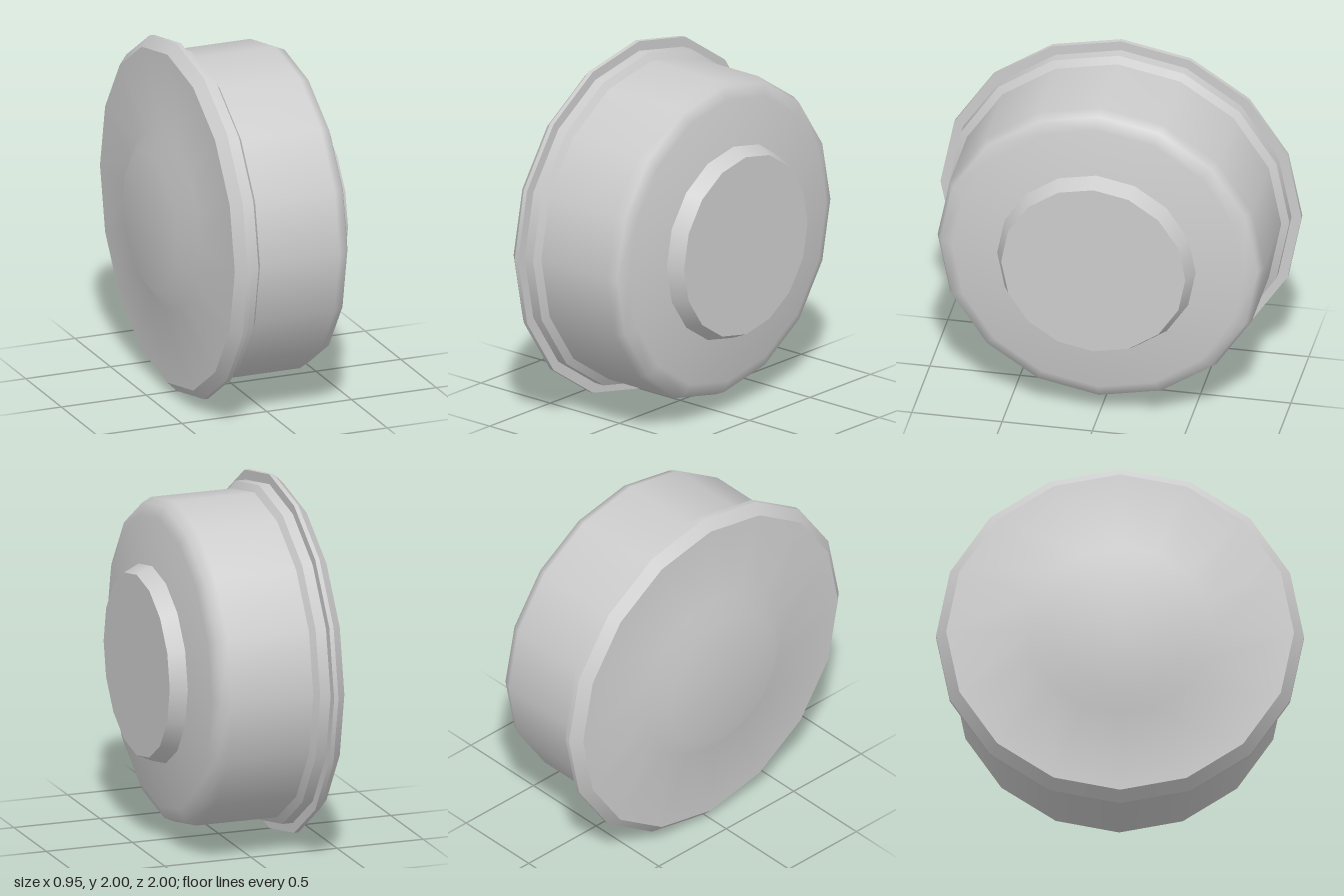
import * as THREE from 'three';

// Turned wheel on the x axis: each section is [x, radius] points, smooth within, sharp between.
const SECTIONS = {
  innerFace: [[-0.475, 0], [-0.475, 0.39], [-0.4, 0.5], [-0.375, 0.945]],
  flangeBevel: [[-0.375, 0.945], [-0.32, 1]],
  flangeRim: [[-0.32, 1], [-0.295, 1]],
  flangeBack: [[-0.295, 1], [-0.295, 0.945]],
  step: [[-0.295, 0.945], [-0.235, 0.945]],
  stepBevel: [[-0.235, 0.945], [-0.21, 0.905]],
  tread: [[-0.21, 0.905], [0.26, 0.905], [0.315, 0.88], [0.345, 0.81], [0.385, 0.55]],
  hubSide: [[0.385, 0.55], [0.475, 0.51]],
  hubCap: [[0.475, 0.51], [0.475, 0]],
};

export function createModel() {
  const group = new THREE.Group();
  group.name = 'wheel';
  const metal = new THREE.MeshStandardMaterial({ color: 0xcccccc });
  metal.name = 'grey metal';

  for (const [name, profile] of Object.entries(SECTIONS)) {
    const points = profile.map(([x, r]) => new THREE.Vector2(r, x));
    const geometry = new THREE.LatheGeometry(points, 16);
    geometry.rotateZ(-Math.PI / 2);
    geometry.translate(0, 1, 0);
    const mesh = new THREE.Mesh(geometry, metal);
    mesh.name = name;
    group.add(mesh);
  }
  return group;
}
